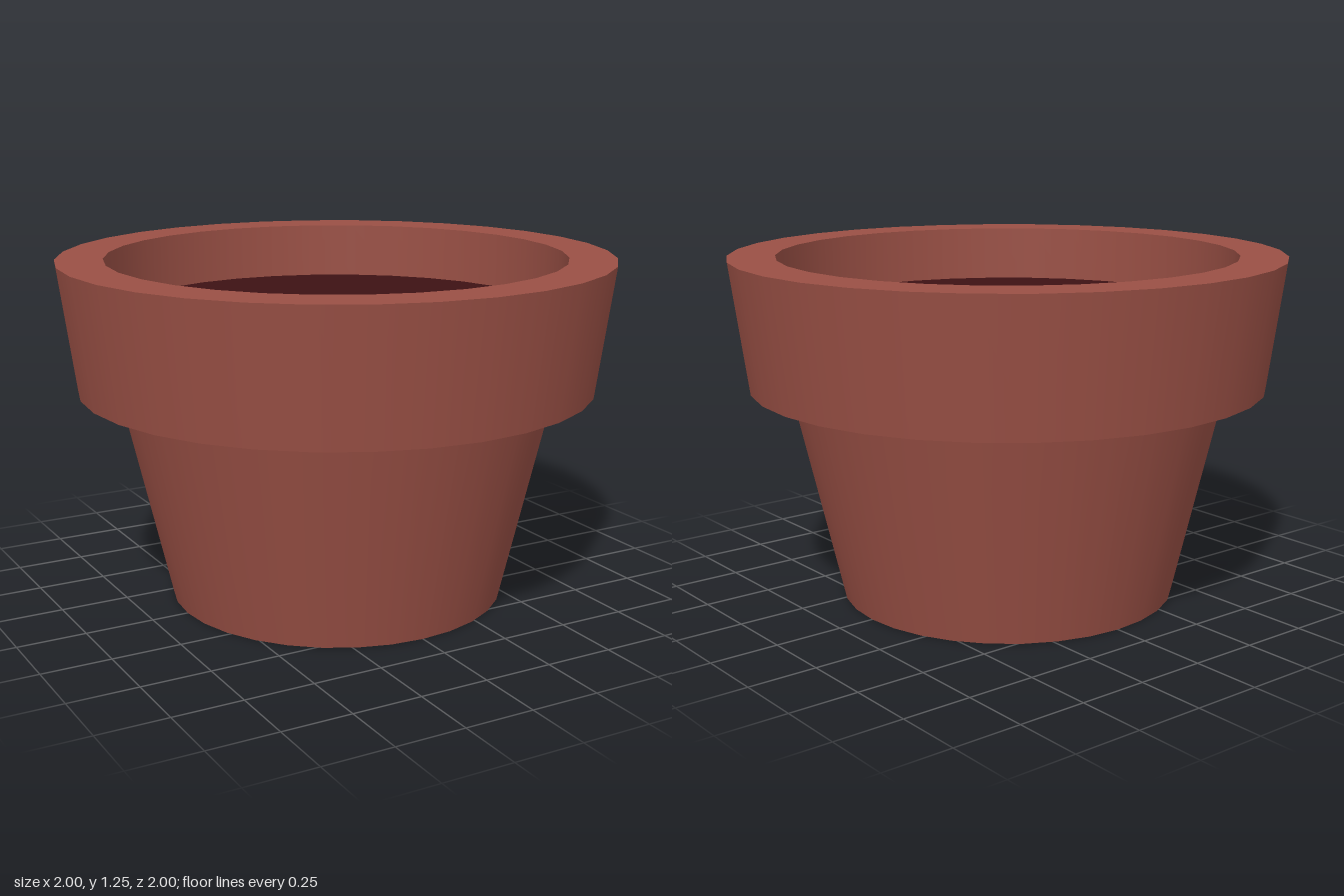
import * as THREE from 'three';
import { mergeGeometries } from 'three/addons/utils/BufferGeometryUtils.js';

const SIDES = 32;

// Each profile section is turned on its own, so edges between sections stay sharp
function turned(profile) {
  const sections = [];
  for (let i = 0; i < profile.length - 1; i++) {
    const pair = [profile[i], profile[i + 1]].map(([r, y]) => new THREE.Vector2(r, y));
    sections.push(new THREE.LatheGeometry(pair, SIDES));
  }
  return mergeGeometries(sections);
}

function part(name, geometry, material) {
  const mesh = new THREE.Mesh(geometry, material);
  mesh.name = name;
  return mesh;
}

export function createModel() {
  const group = new THREE.Group();
  group.name = 'flowerPot';
  const clay = new THREE.MeshStandardMaterial({ color: 0x9a5045 });
  const earth = new THREE.MeshStandardMaterial({ color: 0x3d1214 });
  const soilY = 1.05;

  // Tapered body with a closed base
  group.add(part('body', turned([[0, 0], [0.615, 0], [0.795, 0.785]]), clay));

  // Overhanging collar: underside, flared outside, flat lip, upright inside
  group.add(part('rim', turned([
    [0.795, 0.785], [0.937, 0.785], [1, 1.255], [0.83, 1.255], [0.83, soilY],
  ]), clay));

  // Soil filling the pot
  const soil = part('soil', new THREE.CircleGeometry(0.83, SIDES).rotateX(-Math.PI / 2), earth);
  soil.position.y = soilY;
  group.add(soil);

  return group;
}
